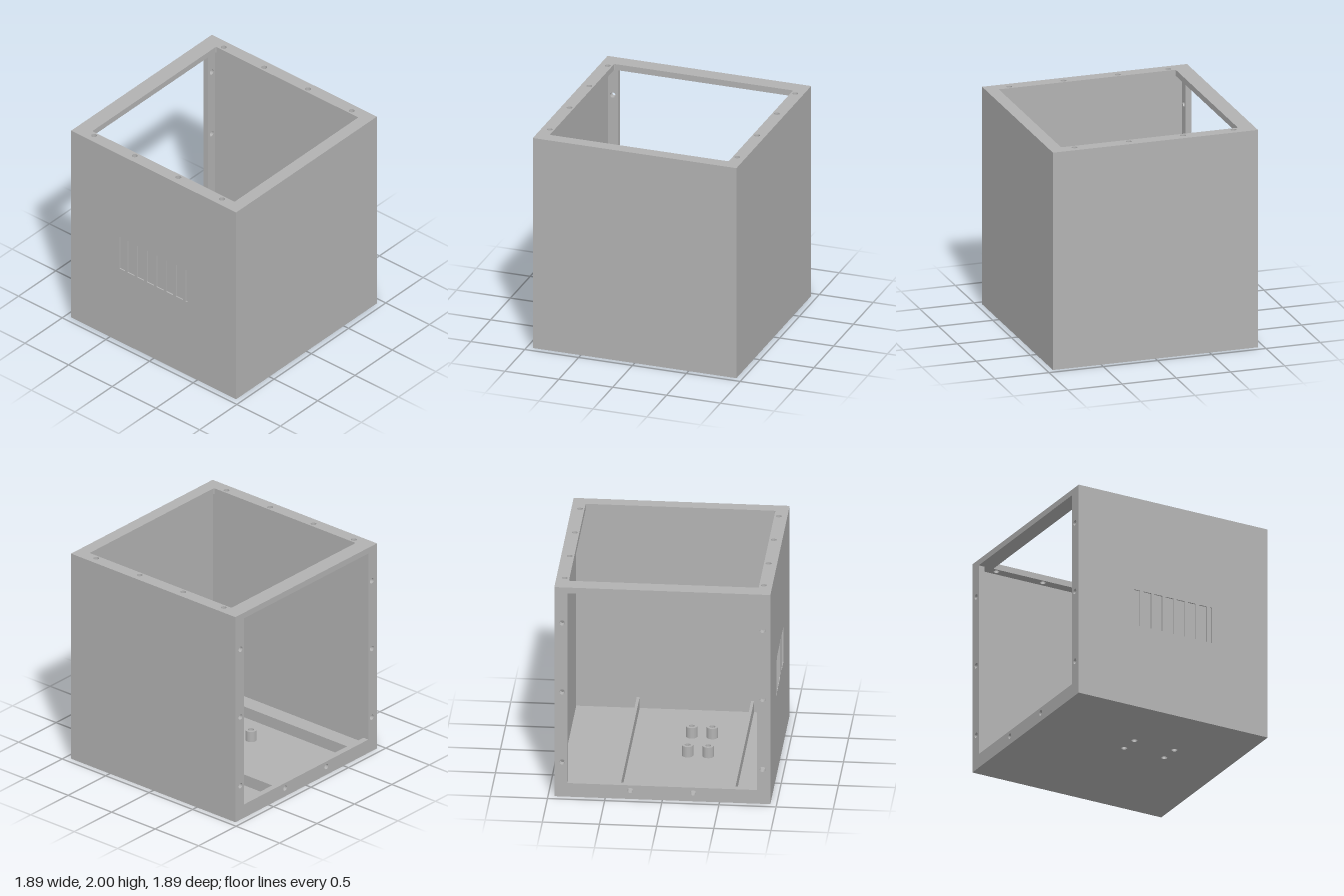
import * as THREE from 'three';

const H = 0.945;   // half width and depth
const T = 0.025;   // sheet thickness
const LIP = 0.055; // thickness of the flanged frames
const IN = H - T;  // inner face of the walls

function rectPath(target, x0, y0, x1, y1, r = 0) {
  if (!r) {
    target.moveTo(x0, y0).lineTo(x1, y0).lineTo(x1, y1).lineTo(x0, y1).closePath();
    return target;
  }
  target.moveTo(x0 + r, y0).lineTo(x1 - r, y0);
  target.absarc(x1 - r, y0 + r, r, -Math.PI / 2, 0);
  target.absarc(x1 - r, y1 - r, r, 0, Math.PI / 2);
  target.absarc(x0 + r, y1 - r, r, Math.PI / 2, Math.PI);
  target.absarc(x0 + r, y0 + r, r, Math.PI, Math.PI * 1.5);
  return target;
}

function circlePath(x, y, r) {
  return new THREE.Path().absarc(x, y, r, 0, Math.PI * 2, true);
}

function extrude(shape, depth) {
  return new THREE.ExtrudeGeometry(shape, { depth, bevelEnabled: false, curveSegments: 12 });
}

export function createModel() {
  const group = new THREE.Group();
  const grey = new THREE.MeshStandardMaterial({ color: 0xb2b2b2 });
  grey.name = 'grey';

  const add = (name, geometry, x = 0, y = 0, z = 0) => {
    const mesh = new THREE.Mesh(geometry, grey);
    mesh.name = name;
    mesh.position.set(x, y, z);
    group.add(mesh);
  };
  // Box given by its two corners
  const box = (name, x0, y0, z0, x1, y1, z1) =>
    add(name, new THREE.BoxGeometry(x1 - x0, y1 - y0, z1 - z0),
      (x0 + x1) / 2, (y0 + y1) / 2, (z0 + z1) / 2);

  const wallTop = 2 - LIP;
  const frameX = -H + LIP; // inner face of the open side's frame
  const mounts = [-0.035, 0.365].flatMap(x => [0.14, 0.32].map(z => [x, z]));

  // Floor with four mounting holes
  const floor = rectPath(new THREE.Shape(), frameX, -H, H, H);
  mounts.forEach(([x, z]) => floor.holes.push(circlePath(x, z, 0.026)));
  add('floor', extrude(floor, T).rotateX(Math.PI / 2), 0, T, 0);

  // Hollow standoffs around the holes
  mounts.forEach(([x, z]) => {
    const ring = new THREE.Shape().absarc(x, z, 0.05, 0, Math.PI * 2);
    ring.holes.push(circlePath(x, z, 0.026));
    add('standoff', extrude(ring, 0.1).rotateX(Math.PI / 2), 0, T + 0.1, 0);
  });

  // Floor ribs
  [-0.39, 0.61].forEach(z => box('floorRib', frameX, T, z, IN, 0.13, z + T));

  // Solid walls
  box('leftWall', IN, T, -IN, H, wallTop, IN);
  box('backWall', frameX, T, -H, H, wallTop, -IN);

  // Front wall: slotted outer skin over a solid backing sheet
  const skin = 0.012;
  const front = rectPath(new THREE.Shape(), frameX, T, H, wallTop);
  for (let i = 0; i < 8; i++) {
    const x = -0.41 + i * 0.111;
    front.holes.push(rectPath(new THREE.Path(),
      Math.max(x, -0.39), 0.78, Math.min(x + 0.08, 0.387), 1.12, 0.004));
  }
  add('slottedFrontSkin', extrude(front, skin), 0, 0, H - skin);
  box('frontBacking', frameX, T, IN, H, wallTop, H - skin);

  // Top frame with a large opening and screw holes
  const top = rectPath(new THREE.Shape(), -H, -H, H, H);
  top.holes.push(rectPath(new THREE.Path(), -0.8, -0.83, 0.83, 0.83, 0.01));
  [-0.745, -0.28, 0.22, 0.72].forEach(x =>
    [-0.87, 0.87].forEach(z => top.holes.push(circlePath(x, z, 0.025))));
  add('topFrame', extrude(top, LIP).rotateX(Math.PI / 2), 0, 2, 0);

  // Open side frame: two jambs and a sill, with screw holes
  const side = new THREE.Shape();
  side.moveTo(-H, 0).lineTo(H, 0).lineTo(H, wallTop).lineTo(0.83, wallTop)
    .lineTo(0.83, 0.13).lineTo(-0.83, 0.13).lineTo(-0.83, wallTop).lineTo(-H, wallTop).closePath();
  [0.33, 1, 1.66].forEach(y =>
    [-0.877, 0.877].forEach(z => side.holes.push(circlePath(z, y, 0.025))));
  [-0.28, 0.27].forEach(z => side.holes.push(circlePath(z, 0.08, 0.025)));
  add('openSideFrame', extrude(side, LIP).rotateY(-Math.PI / 2), frameX, 0, 0);

  return group;
}
